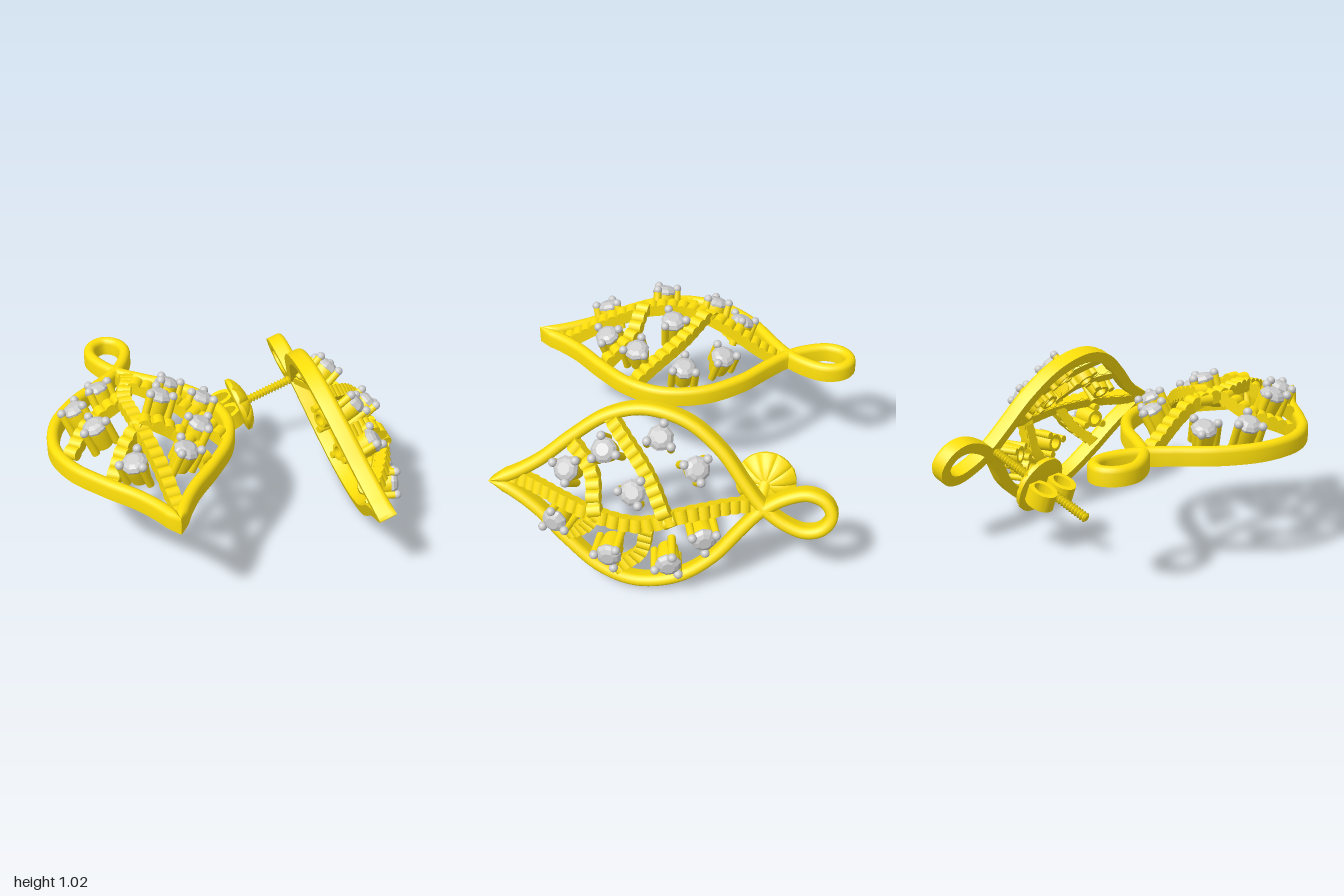
import * as THREE from 'three';
import { toCreasedNormals } from 'three/addons/utils/BufferGeometryUtils.js';

const gold = new THREE.MeshStandardMaterial({ color: 0xffe00a });
const grey = new THREE.MeshStandardMaterial({ color: 0xcccccc });
const greyFlat = new THREE.MeshStandardMaterial({ color: 0xcccccc, flatShading: true });
const V = (x, y, z) => new THREE.Vector3(x, y, z);
const UP = V(0, 1, 0);
const lathe = (profile, sides) => new THREE.LatheGeometry(profile.map(p => new THREE.Vector2(...p)), sides);

function add(parent, name, geometry, material, x = 0, y = 0, z = 0) {
  const mesh = new THREE.Mesh(geometry, material);
  mesh.name = name;
  mesh.position.set(x, y, z);
  parent.add(mesh);
  return mesh;
}

// Sideways and upward directions of a path at t
function frame(curve, t) {
  const forward = curve.getTangentAt(t);
  const side = V().crossVectors(forward, UP).normalize();
  return { point: curve.getPointAt(t), side, up: V().crossVectors(side, forward) };
}

// Sweep a convex counter-clockwise section along a path, keeping it upright; width(t) narrows it
function sweep(curve, section, steps, width = () => 1) {
  const pos = [], idx = [], n = section.length;
  for (let i = 0; i <= steps; i++) {
    const f = frame(curve, i / steps), w = width(i / steps);
    for (const [s, u] of section)
      pos.push(...f.point.clone().addScaledVector(f.side, s * w).addScaledVector(f.up, u).toArray());
  }
  for (let i = 0; i < steps; i++)
    for (let j = 0; j < n; j++) {
      const a = i * n + j, b = i * n + (j + 1) % n;
      idx.push(a, a + n, b, b, a + n, b + n);
    }
  const e = steps * n;
  for (let j = 1; j < n - 1; j++) idx.push(0, j, j + 1, e, e + j + 1, e + j);
  const g = new THREE.BufferGeometry();
  g.setAttribute('position', new THREE.Float32BufferAttribute(pos, 3));
  g.setIndex(idx);
  return toCreasedNormals(g, 0.7);
}

// Height of the veins: a ridge along the middle that falls to the rim
function dome(x, z) {
  const halfWidth = 0.5 * Math.max(0.2, 1 - ((z - 0.1) / 0.62) ** 2);
  const along = Math.max(0, 1 - ((z - 0.13) / 0.68) ** 2) ** 1.6;
  return 0.05 + 0.28 * along * Math.max(0, 1 - Math.abs(x) / halfWidth);
}

// Half outline from the tip to the top of the hanging loop
const halfOutline = [[0, 0.94], [0.04, 0.83], [0.14, 0.67], [0.29, 0.5], [0.43, 0.31], [0.487, 0.11],
  [0.44, -0.12], [0.3, -0.31], [0.125, -0.45], [0.015, -0.545], [-0.07, -0.67], [-0.105, -0.79], [-0.075, -0.88], [0, -0.92]];

const veins = [
  [[0.03, 0.8], [-0.01, 0.55], [-0.06, 0.3], [-0.08, 0.05], [-0.02, -0.13], [0.01, -0.32], [0.02, -0.5]],
  [[-0.1, 0.03], [-0.27, 0.07], [-0.4, 0.2]],
  [[-0.04, -0.08], [0.18, 0.05], [0.42, 0.28]],
  [[-0.05, 0.3], [-0.15, 0.37], [-0.25, 0.5]],
  [[-0.02, 0.31], [0.15, 0.35], [0.27, 0.49]],
];

// Stones: x, z, height and the turn of the prongs
const stones = [[-0.17, -0.26, 0.15, 0.1], [-0.33, -0.08, 0.16, 0.8], [-0.28, 0.23, 0.24, 0.4],
  [-0.14, 0.54, 0.19, 1.1], [0.22, -0.2, 0.16, 0.3], [0.37, 0, 0.16, 0.9], [0.1, 0.11, 0.29, 0.5],
  [0.28, 0.29, 0.19, 1.3], [0.15, 0.49, 0.18, 0.2]];

const beadGeo = new THREE.CylinderGeometry(0.037, 0.037, 0.072, 14);
const cupGeo = toCreasedNormals(
  lathe([[0.035, -0.12], [0.055, -0.12], [0.066, -0.03], [0.066, 0.005], [0.045, 0.005], [0.035, -0.12]], 18), 0.6);
const gemGeo = lathe([[0, -0.06], [0.07, 0], [0.072, 0.012], [0.058, 0.03], [0.035, 0.042], [0, 0.042]], 9);
const prongGeo = new THREE.CylinderGeometry(0.022, 0.022, 0.15, 12);
const tipGeo = new THREE.SphereGeometry(0.025, 14, 10);

// Gem in a cup with three prongs, leaning outward from the leaf
function stoneSetting(x, z, height, turn) {
  const g = new THREE.Group();
  g.name = 'stoneSetting';
  g.position.set(x, height, z);
  g.quaternion.setFromUnitVectors(UP, V(Math.sign(x) * 0.25 + x * 0.5, 1, (z - 0.2) * 0.75).normalize());
  add(g, 'cup', cupGeo, gold);
  add(g, 'gem', gemGeo, greyFlat);
  for (let k = 0; k < 3; k++) {
    const a = turn + k * Math.PI * 2 / 3, px = 0.075 * Math.cos(a), pz = 0.075 * Math.sin(a);
    add(g, 'prong', prongGeo, gold, px, -0.05, pz);
    add(g, 'prongTip', tipGeo, grey, px, 0.03, pz);
  }
  return g;
}

function beadedVein(points) {
  const g = new THREE.Group();
  g.name = 'beadedVein';
  const path = new THREE.CatmullRomCurve3(points.map(([x, z]) => V(x, 0, z)));
  const curve = new THREE.CatmullRomCurve3(path.getSpacedPoints(16).map(p => p.setY(dome(p.x, p.z) - 0.03)));
  add(g, 'veinStrip', sweep(curve, [[-0.03, -0.02], [0.03, -0.02], [0.03, 0.03], [-0.03, 0.03]], 40), gold);
  const count = Math.round(curve.getLength() / 0.06);
  for (let i = 0; i <= count; i++) {
    const f = frame(curve, i / count);
    const bead = add(g, 'bead', beadGeo, gold);
    bead.position.copy(f.point).addScaledVector(f.up, 0.02);
    bead.quaternion.setFromUnitVectors(UP, f.side);
  }
  return g;
}

// One leaf; m = 1 or -1 mirrors its layout
function leaf(m) {
  const g = new THREE.Group();
  // Flat-bottomed rim with a rounded top, running round the leaf and the loop
  const section = [[-0.033, 0], [0.033, 0]];
  for (let k = 0; k <= 8; k++) {
    const a = k / 8 * Math.PI;
    section.push([0.033 * Math.cos(a), 0.069 + 0.031 * Math.sin(a)]);
  }
  const back = halfOutline.slice(0, -1).reverse().map(([x, z]) => [-x, z]);
  const rim = new THREE.CatmullRomCurve3([...halfOutline, ...back].map(([x, z]) => V(m * x, 0, z)));
  const tipTaper = t => Math.min(1, 0.08 + Math.min(t, 1 - t) * 50);
  add(g, 'rimAndLoop', sweep(rim, section, 200, tipTaper), gold);
  for (const v of veins) g.add(beadedVein(v.map(([x, z]) => [m * x, z])));
  for (const [x, z, height, turn] of stones) g.add(stoneSetting(m * x, z, height, m * turn));
  return g;
}

// Threaded post with its scroll nut, hanging below the leaf
function post() {
  const g = new THREE.Group();
  g.name = 'post';
  const thread = [[0, -0.715], [0.018, -0.715]];
  for (let i = 0; i < 74; i++) thread.push([i % 2 ? 0.018 : 0.029, -0.705 + i * 0.0102]);
  thread.push([0, 0.05]);
  add(g, 'threadedPost', toCreasedNormals(lathe(thread, 16), 0.6), gold);

  // Shallow domed disc facing the leaf, fluted into petals
  const disc = lathe([[0, -0.37], [0.15, -0.37], [0.17, -0.365], [0.17, -0.34], [0.14, -0.315],
    [0.1, -0.296], [0.06, -0.286], [0.03, -0.284], [0, -0.284]], 80);
  const p = disc.attributes.position;
  for (let i = 0; i < p.count; i++) {
    const flute = Math.abs(Math.cos(5 * Math.atan2(p.getZ(i), p.getX(i))));
    const r = Math.hypot(p.getX(i), p.getZ(i));
    if (p.getY(i) > -0.345) p.setY(i, p.getY(i) - 0.09 * r * (1 - flute) ** 2);
  }
  add(g, 'nutDisc', toCreasedNormals(disc, 0.35), gold);

  // Two curled scrolls either side of the post
  for (const s of [-1, 1]) {
    const ring = new THREE.Shape().absellipse(0, 0, 0.07, 0.088, 0, Math.PI * 2);
    ring.holes.push(new THREE.Path().absellipse(0, 0, 0.04, 0.058, 0, Math.PI * 2));
    const geo = new THREE.ExtrudeGeometry(ring, { depth: 0.1, bevelEnabled: false, curveSegments: 24 });
    geo.translate(0, 0, -0.05).rotateY(Math.PI / 2);
    add(g, 'scroll', toCreasedNormals(geo, 0.6), gold, 0, -0.44, s * 0.08);
  }
  return g;
}

export function createModel() {
  const model = new THREE.Group();
  model.name = 'leafEarrings';

  const flat = leaf(1);
  flat.name = 'flatEarring';
  flat.position.set(-0.478, 0.66, 0);

  const tilted = leaf(-1);
  tilted.name = 'tiltedEarring';
  tilted.position.set(0.61, 0.495, 0);
  tilted.rotation.z = -1.215;
  const stud = post();
  stud.position.set(-0.01, 0, -0.53);
  tilted.add(stud);

  model.add(flat, tilted);
  return model;
}
